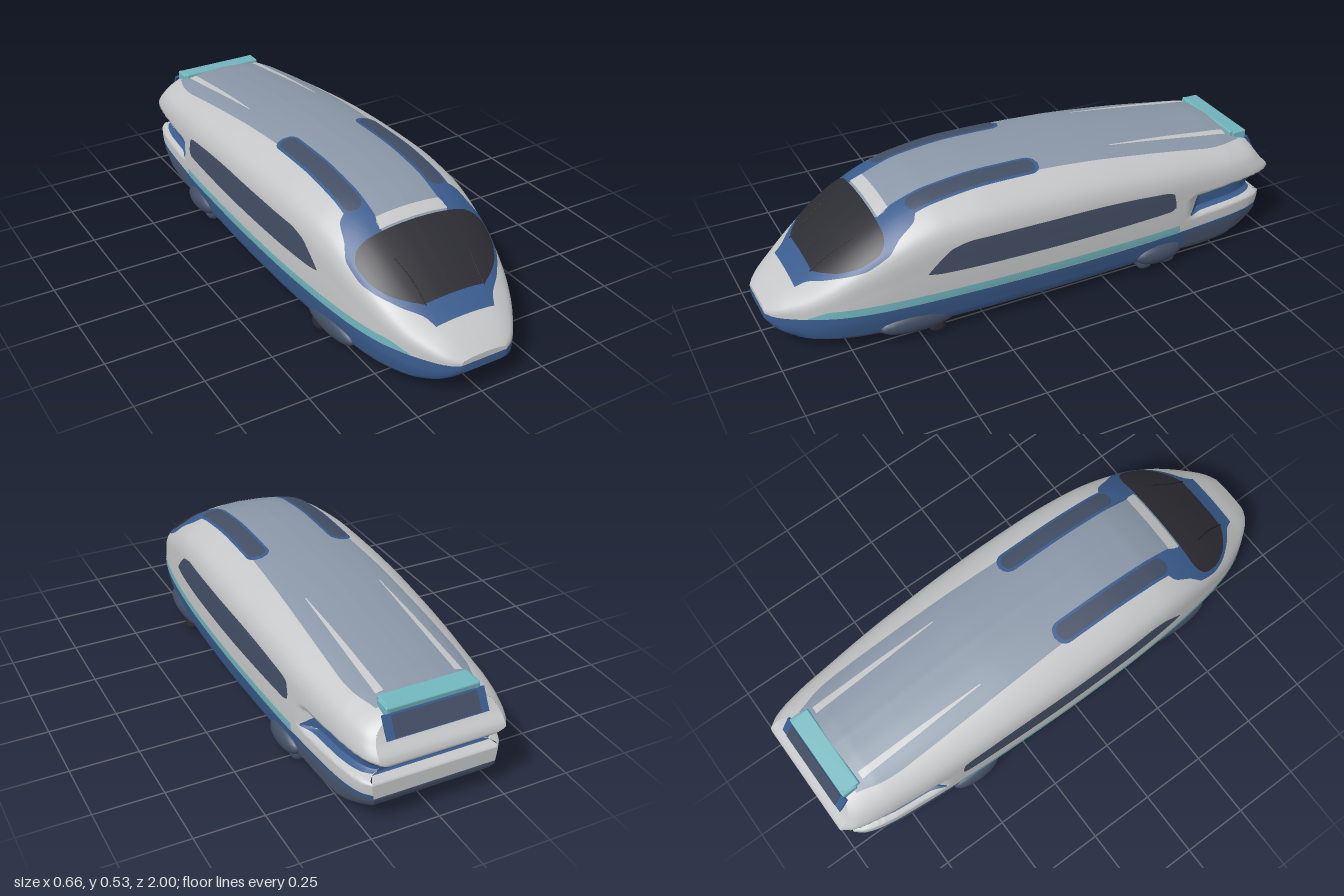
import * as THREE from 'three';
import { RoundedBoxGeometry } from 'three/addons/geometries/RoundedBoxGeometry.js';

const material = (name, color) => {
  const m = new THREE.MeshStandardMaterial({ color });
  m.name = name;
  return m;
};

// smooth monotone interpolation through [position, value] pairs
function track(...pts) {
  pts.sort((a, b) => a[0] - b[0]);
  const sec = pts.slice(1).map((p, i) => (p[1] - pts[i][1]) / (p[0] - pts[i][0]));
  const tan = pts.map((_, i) => {
    const a = sec[i - 1] ?? sec[i], b = sec[i] ?? a;
    return a * b <= 0 ? 0 : (2 * a * b) / (a + b);
  });
  return (s) => {
    const n = pts.length - 1;
    if (s <= pts[0][0]) return pts[0][1];
    if (s >= pts[n][0]) return pts[n][1];
    let i = 0;
    while (s > pts[i + 1][0]) i++;
    const h = pts[i + 1][0] - pts[i][0], u = (s - pts[i][0]) / h, u2 = u * u, u3 = u2 * u;
    return (2 * u3 - 3 * u2 + 1) * pts[i][1] + (u3 - 2 * u2 + u) * h * tan[i]
      + (3 * u2 - 2 * u3) * pts[i + 1][1] + (u3 - u2) * h * tan[i + 1];
  };
}

// hull lines along the length
const halfWidth = track([-1, 0.232], [-0.96, 0.258], [-0.88, 0.278], [-0.75, 0.293], [-0.4, 0.318], [0, 0.328],
  [0.2, 0.326], [0.4, 0.316], [0.6, 0.294], [0.75, 0.262], [0.85, 0.222], [0.93, 0.17], [0.98, 0.125], [1, 0.09]);
const topLine = track([-1, 0.42], [-0.8, 0.44], [-0.6, 0.467], [-0.4, 0.492], [-0.2, 0.513], [0, 0.523], [0.2, 0.527],
  [0.4, 0.51], [0.5, 0.482], [0.6, 0.435], [0.7, 0.376], [0.8, 0.304], [0.88, 0.245], [0.95, 0.2], [1, 0.16]);
const bottomLine = track([-1, 0.06], [-0.85, 0.02], [-0.7, 0.01], [-0.55, 0.02], [0, 0.025], [0.7, 0.03],
  [0.85, 0.04], [0.92, 0.055], [0.97, 0.08], [1, 0.108]);
// tail silhouette: length by height
const tail = track([0, 0.83], [0.03, 0.87], [0.08, 0.94], [0.12, 0.965], [0.18, 0.965], [0.2, 0.93], [0.225, 0.935],
  [0.25, 0.975], [0.27, 1], [0.29, 0.995], [0.33, 0.96], [0.38, 0.93], [0.42, 0.915]);

// half cross-section from floor centre to roof centre
const section = new THREE.CatmullRomCurve3([
  [0, -1], [0.45, -1], [0.8, -0.98], [0.92, -0.82], [0.97, -0.5], [0.995, -0.2], [1, 0],
  [0.995, 0.3], [0.97, 0.6], [0.89, 0.75], [0.64, 0.91], [0.32, 0.98], [0, 1],
].map(([x, y]) => new THREE.Vector3(x, y, 0)));

const clamp = THREE.MathUtils.clamp;
function heightAt(s, Y) {
  const b = bottomLine(s), t = topLine(s), belt = b + 0.34 * (t - b);
  return belt + Y * (Y < 0 ? belt - b : t - belt);
}
// hull point: s runs along the length, t around (0 floor, 1 roof, past 1 the other side)
function hull(s, t) {
  const side = t < 0 || t > 1 ? -1 : 1;
  const p = section.getPoint(t > 1 ? 2 - t : Math.abs(t));
  const y = heightAt(s, p.y);
  const notch = 0.04 * THREE.MathUtils.smoothstep(-s, 0.58, 0.67)
    * clamp((y - 0.19) / 0.015, 0, 1) * clamp((0.28 - y) / 0.015, 0, 1);
  const z = s >= -0.8 ? s : -0.8 + ((s + 0.8) / 0.2) * (tail(y) - 0.8);
  return new THREE.Vector3(side * (p.x * halfWidth(s) - notch), y, z);
}
function solve(lo, hi, below) {
  for (let i = 0; i < 18; i++) {
    const m = (lo + hi) / 2;
    if (below(m)) lo = m; else hi = m;
  }
  return (lo + hi) / 2;
}
const atY = (s, y) => solve(0.08, 1, (t) => heightAt(s, section.getPoint(t).y) < y);
const atX = (s, x) => solve(0.5, 1, (t) => section.getPoint(t).x * halfWidth(s) > x);

function gridGeometry(rows, cols, point) {
  const pos = [], index = [];
  for (let i = 0; i <= rows; i++) for (let j = 0; j <= cols; j++) {
    pos.push(...point(i / rows, j / cols).toArray());
    if (i < rows && j < cols) {
      const a = i * (cols + 1) + j, c = a + cols + 1;
      index.push(a, a + 1, c, a + 1, c + 1, c);
    }
  }
  const g = new THREE.BufferGeometry();
  g.setAttribute('position', new THREE.Float32BufferAttribute(pos, 3));
  g.setIndex(index);
  g.computeVertexNormals();
  return g;
}
function lifted(s, t, off) {
  const p = hull(s, t);
  if (!off) return p;
  const e = 0.003;
  const dt = hull(s, t + e).sub(hull(s, t - e)), ds = hull(s + e, t).sub(hull(s - e, t));
  return p.addScaledVector(dt.cross(ds).normalize(), off);
}

export function createModel() {
  const model = new THREE.Group();
  model.name = 'train';
  const white = material('white', 0xc5c6c7), grey = material('roofGrey', 0x8a97a7), blue = material('blue', 0x3a5c8e);
  const teal = material('teal', 0x72b6be), slate = material('slate', 0x434e64), glass = material('darkGlass', 0x2c2c33);
  const black = material('black', 0x1f1f22), underbody = material('underbody', 0x4d5a72);

  const add = (name, geo, mat) => {
    const m = new THREE.Mesh(geo, mat);
    m.name = name;
    model.add(m);
    return m;
  };
  // hull strip between two t curves
  const strip = (name, mat, s0, s1, lo, hi, off = 0, ns = 60, nt = 10) =>
    add(name, gridGeometry(ns, nt, (u, v) => {
      const s = s0 + (s1 - s0) * u, a = lo(s);
      return lifted(s, a + (hi(s) - a) * v, off);
    }), mat);
  const sides = (name, mat, s0, s1, lo, hi, ...rest) => {
    strip(name + 'Left', mat, s0, s1, lo, hi, ...rest);
    strip(name + 'Right', mat, s0, s1, (s) => 2 - hi(s), (s) => 2 - lo(s), ...rest);
  };
  const y = (f) => (s) => atY(s, typeof f === 'number' ? f : f(s));
  const x = (f) => (s) => atX(s, f(s));
  const over = (name, mat, s0, s1, w, off, ns) =>
    strip(name, mat, s0, s1, x(w), (s) => 2 - x(w)(s), off, ns, 36);

  // shell: floor, skirt and upper body
  const skirtTop = track([-1, 0.14], [-0.5, 0.14], [0.4, 0.155], [0.8, 0.15], [1, 0.138]);
  strip('floor', underbody, -1, 1, (s) => -atY(s, 0.06), y(0.06), 0, 90, 20);
  sides('skirt', blue, -1, 1, y(0.06), y(skirtTop), 0, 90, 8);
  strip('upperBody', white, -1, 1, y(skirtTop), (s) => 2 - y(skirtTop)(s), 0, 130, 150);
  strip('noseUnderPanel', black, 0.72, 0.91, () => -0.13, () => 0.13, 0.003, 20, 8);

  // nose and tail end faces
  const endFace = (name, mat, s, y0, y1) => add(name, gridGeometry(14, 2, (u, v) => {
    const a = y0 === null ? 0 : atY(s, y0), b = y1 === null ? 1 : atY(s, y1);
    const p = hull(s, a + (b - a) * u);
    p.x *= s > 0 ? 2 * v - 1 : 1 - 2 * v;
    return p;
  }), mat);
  [['noseLower', blue, 1, null, 0.138], ['noseUpper', white, 1, 0.138, null],
    ['tailUnder', underbody, -1, null, 0.125], ['tailBumper', white, -1, 0.125, 0.195],
    ['tailNotch', blue, -1, 0.195, 0.258], ['tailRidge', white, -1, 0.258, 0.33],
    ['tailUpper', white, -1, 0.33, null]].forEach((f) => endFace(...f));

  // side stripes, windows and rear notch
  const stripeLow = track([-0.55, 0.142], [0.4, 0.158], [0.88, 0.15]);
  const stripeHigh = track([-0.55, 0.175], [0.4, 0.19], [0.8, 0.18], [0.88, 0.153]);
  sides('tealStripe', teal, -0.55, 0.88, y(stripeLow), y(stripeHigh), 0.003, 70, 4);
  const winHigh = track([-0.525, 0.28], [-0.515, 0.32], [-0.47, 0.335], [-0.1, 0.365], [0.3, 0.37],
    [0.38, 0.355], [0.44, 0.31], [0.475, 0.275]);
  const winLow = track([-0.525, 0.26], [-0.5, 0.25], [0.3, 0.262], [0.42, 0.265], [0.475, 0.272]);
  sides('sideWindow', slate, -0.525, 0.475, y(winLow), y(winHigh), 0.003, 100, 10);
  const notchHigh = track([-1, 0.258], [-0.85, 0.268], [-0.68, 0.268], [-0.6, 0.205]);
  sides('rearNotch', blue, -1, -0.6, y(0.197), y(notchHigh), 0.002, 50, 14);
  sides('rearSkirt', underbody, -1, -0.58, y(0.06), y(0.128), 0.002, 30, 6);

  // roof, windscreen surround and windscreen
  const surround = track([0.47, 0.2], [0.49, 0.23], [0.55, 0.25], [0.6, 0.27], [0.66, 0.265], [0.72, 0.245],
    [0.8, 0.19], [0.86, 0.13], [0.89, 0.115]);
  const roofWidth = track([-0.93, 0.18], [-0.7, 0.212], [-0.3, 0.205], [0, 0.195], [0.45, 0.18], [0.52, 0.14],
    [0.59, 0.13]);
  over('windscreenSurround', blue, 0.47, 0.89, surround, 0.002, 60);
  over('roof', grey, -0.93, 0.59, roofWidth, 0.0035, 100);
  over('windscreen', glass, 0.59, 0.825,
    track([0.59, 0.2], [0.6, 0.235], [0.63, 0.253], [0.68, 0.247], [0.75, 0.213], [0.8, 0.16], [0.825, 0.12]), 0.005, 50);
  over('browPanel', white, 0.54, 0.582, track([0.54, 0.125], [0.582, 0.135]), 0.005, 8);
  const capsule = (s0, s1, c, r, k) => (s) => {
    const e = clamp(Math.min(s - s0, s1 - s) / r, 0, 1);
    return c + k * r * Math.sqrt(1 - (1 - e) ** 2);
  };
  const roofStrip = (name, mat, s0, s1, c, r, off) =>
    sides(name, mat, s0, s1, x(capsule(s0, s1, c, r, 1)), x(capsule(s0, s1, c, r, -1)), off, 90, 8);
  roofStrip('roofStripeBorder', blue, -0.015, 0.57, 0.165, 0.042, 0.005);
  roofStrip('roofStripe', slate, 0, 0.49, 0.165, 0.032, 0.0065);
  const rail = track([-0.86, 0.014], [-0.6, 0.01], [-0.32, 0.002]);
  sides('roofRail', white, -0.86, -0.32, x((s) => 0.143 + rail(s)), x((s) => 0.143 - rail(s)), 0.008, 40, 4);

  // tail spoiler and rear window
  const bar = add('tailSpoiler', new RoundedBoxGeometry(0.33, 0.024, 0.075, 2, 0.006), teal);
  bar.position.set(0, 0.418, -0.888);
  bar.rotation.x = -0.12;
  const plate = (name, mat, w, h, off) => {
    const m = add(name, new THREE.BoxGeometry(w, h, 0.008), mat);
    m.position.set(0, 0.368, -0.941 - off);
    m.rotation.x = 0.5;
  };
  plate('rearWindowFrame', blue, 0.37, 0.082, 0);
  plate('rearWindow', slate, 0.31, 0.072, 0.004);

  for (const k of [-1, 1]) {
    const fin = add('spoilerFin', new RoundedBoxGeometry(0.022, 0.055, 0.06, 2, 0.006), teal);
    fin.position.set(k * 0.16, 0.4, -0.895);

    // wipers
    const path = [[0.83, 0.115], [0.76, 0.12], [0.68, 0.14]].map(([s, px]) => {
      const p = lifted(s, atX(s, px), 0.006);
      p.x *= k;
      return p;
    });
    add('wiper', new THREE.TubeGeometry(new THREE.CatmullRomCurve3(path), 12, 0.002, 5), black);

    // bogie fairings, frames and rounded wheels
    for (const [fx, z, len] of [[0.272, 0.5, 0.3], [0.294, -0.47, 0.2]]) {
      const f = add('bogieFairing', new THREE.SphereGeometry(0.5, 24, 14), slate);
      f.scale.set(0.07, 0.085, len);
      f.position.set(k * fx, 0.068, z);
      const b = add('bogieFrame', new RoundedBoxGeometry(0.09, 0.03, 0.12, 2, 0.01), slate);
      b.position.set(k * 0.163, 0.021, z - 0.02);
    }
    for (const z of [0.44, -0.42, -0.52]) {
      const w = add('wheel', new RoundedBoxGeometry(0.095, 0.068, 0.066, 4, 0.028), z > 0 ? glass : slate);
      w.position.set(k * 0.255, 0.036, z);
    }
  }
  return model;
}
